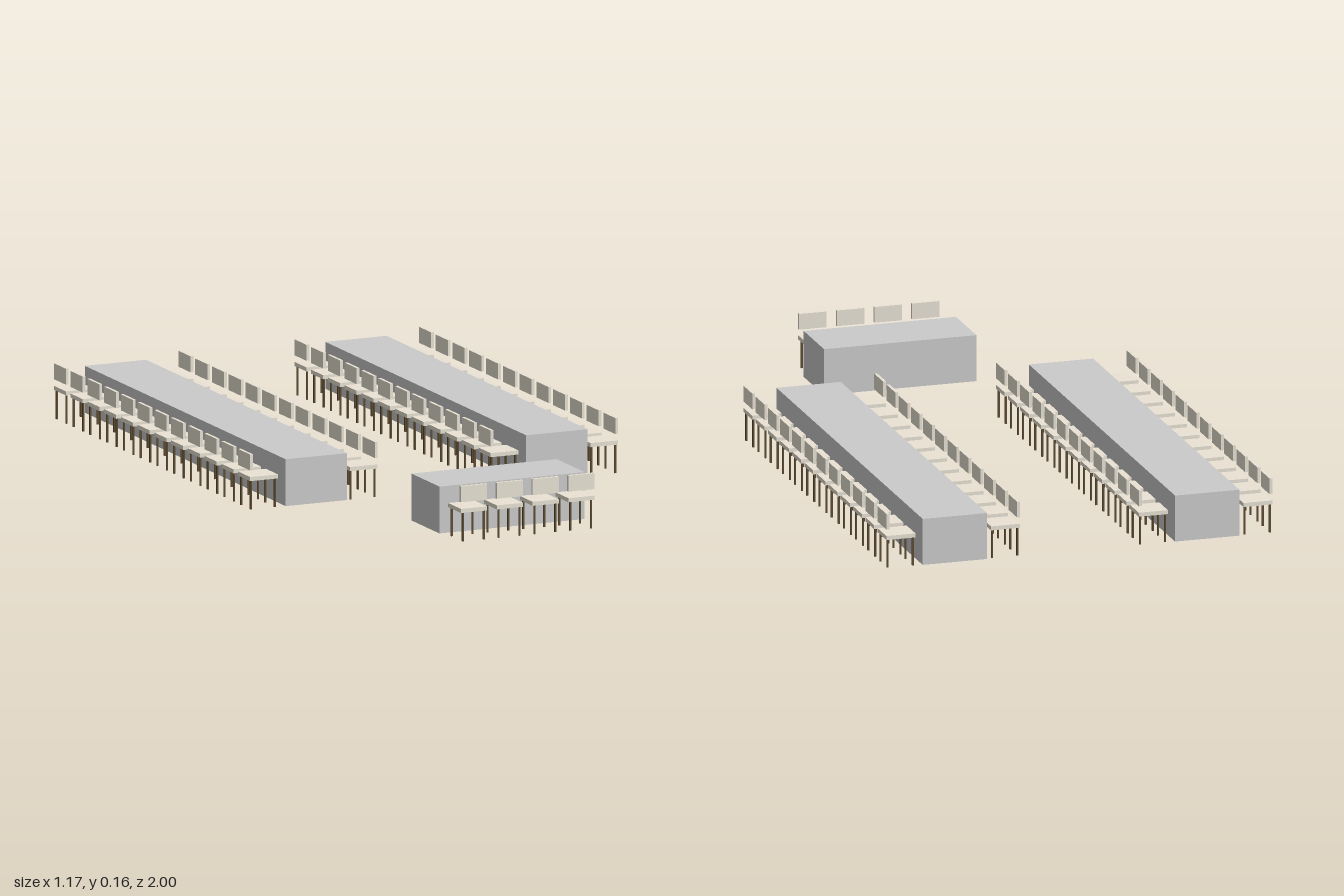
import * as THREE from 'three';

const grey = new THREE.MeshStandardMaterial({ color: 0xcccccc });
const cream = new THREE.MeshStandardMaterial({ color: 0xeae3d5 });
const brown = new THREE.MeshStandardMaterial({ color: 0x5c4a30 });

function box(name, material, w, h, d, x, y, z) {
  const mesh = new THREE.Mesh(new THREE.BoxGeometry(w, h, d), material);
  mesh.name = name;
  mesh.position.set(x, y, z);
  return mesh;
}

// Solid block table, just clear of the floor
function makeTable(name, w, d, x, z) {
  return box(name, grey, w, 0.138, d, x, 0.074, z);
}

// Chair centred on its seat, backrest towards +z
function makeChair() {
  const chair = new THREE.Group();
  chair.name = 'chair';
  chair.add(box('seat', cream, 0.083, 0.012, 0.088, 0, 0.091, 0));
  chair.add(box('backrest', cream, 0.083, 0.047, 0.009, 0, 0.14, 0.0395));
  for (const x of [-0.033, 0.033]) {
    for (const z of [-0.038, 0.038]) {
      chair.add(box('leg', brown, 0.005, 0.086, 0.005, x, 0.043, z));
    }
  }
  return chair;
}

export function createModel() {
  const model = new THREE.Group();
  model.name = 'banquetSeating';

  function addChair(x, z, turn) {
    const chair = makeChair();
    chair.position.set(x, 0, z);
    chair.rotation.y = turn;
    model.add(chair);
  }

  // Two long tables with twelve chairs along each side
  for (const side of [-1, 1]) {
    const tableX = side * 0.381;
    model.add(makeTable('longTable', 0.194, 1.375, tableX, -0.3125));
    for (const face of [-1, 1]) {
      for (let i = 0; i < 12; i++) {
        addChair(tableX + face * 0.158, -0.944 + i * 0.1147, face * Math.PI / 2);
      }
    }
  }

  // Head table with four chairs on its outer side
  model.add(makeTable('headTable', 0.46, 0.192, 0, 0.796));
  for (let i = 0; i < 4; i++) addChair((i - 1.5) * 0.1135, 0.956, 0);

  return model;
}
